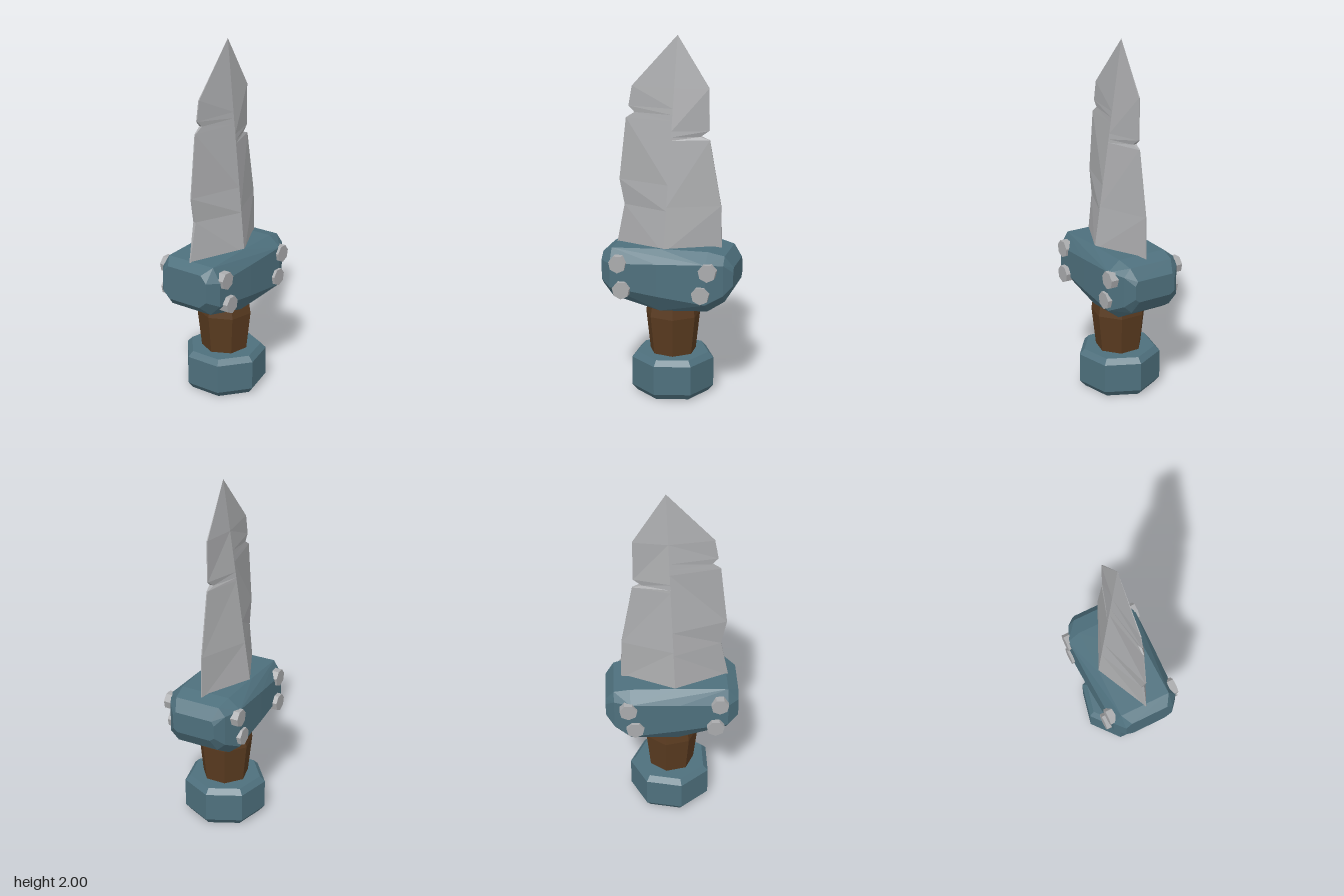
import * as THREE from 'three';
import { ConvexGeometry } from 'three/addons/geometries/ConvexGeometry.js';

const steel = new THREE.MeshStandardMaterial({ color: 0xaaabad, flatShading: true, side: THREE.DoubleSide });
steel.name = 'steel';
const blueMetal = new THREE.MeshStandardMaterial({ color: 0x4e707d, flatShading: true });
blueMetal.name = 'blue metal';
const wood = new THREE.MeshStandardMaterial({ color: 0x5a3b20, flatShading: true });
wood.name = 'brown wood';

function part(name, geometry, material) {
  const mesh = new THREE.Mesh(geometry, material);
  mesh.name = name;
  return mesh;
}

// One half of the blade: rows run from the tip down, each from the front ridge
// round the thin cutting edge to the back ridge.
function bladeHalf(edge, side) {
  const positions = [], index = [];
  const tipY = 2, baseY = 0.8;
  edge.forEach(([x, y, edgeZ]) => {
    const t = (tipY - y) / (tipY - baseY);
    const ridgeX = 0.025 - 0.045 * t;
    const ridgeZ = 0.15 * t;
    positions.push(ridgeX, y, ridgeZ, x, y, edgeZ, x, y, -edgeZ, ridgeX, y, -ridgeZ);
  });
  for (let r = 0; r < edge.length - 1; r++) {
    for (let c = 0; c < 3; c++) {
      const a = r * 4 + c, b = a + 1, d = a + 4, e = a + 5;
      if (side > 0) index.push(a, d, b, b, d, e);
      else index.push(a, b, d, b, e, d);
    }
  }
  const g = new THREE.BufferGeometry();
  g.setAttribute('position', new THREE.Float32BufferAttribute(positions, 3));
  g.setIndex(index);
  g.computeVertexNormals();
  return g;
}

// Seven-sided solid turned round the y axis, with one corner facing `start`
function heptagon(profile, start) {
  const points = [];
  for (const [r, y] of profile) {
    for (let i = 0; i < 7; i++) {
      const a = start + (i * Math.PI * 2) / 7;
      points.push(new THREE.Vector3(r * Math.cos(a), y, r * Math.sin(a)));
    }
  }
  return new ConvexGeometry(points);
}

export function createModel() {
  const model = new THREE.Group();
  model.name = 'dagger';

  // Blade with chipped edges: x, y, half thickness of the edge
  const blade = new THREE.Group();
  blade.name = 'blade';
  const rightEdge = [
    [0.025, 2, 0], [-0.23, 1.72, 0.003], [-0.25, 1.61, 0.003], [-0.215, 1.577, 0.008],
    [-0.265, 1.545, 0.003], [-0.305, 1.2, 0.003], [-0.275, 1.06, 0.008], [-0.322, 0.83, 0.003],
    [-0.322, 0.8, 0.003]];
  const leftEdge = [
    [0.025, 2, 0], [0.2, 1.72, 0.003], [0.2, 1.49, 0.003], [0.155, 1.458, 0.012],
    [0.205, 1.44, 0.003], [0.27, 1.08, 0.003], [0.277, 0.83, 0.003], [0.277, 0.8, 0.003]];
  blade.add(part('bladeRightHalf', bladeHalf(rightEdge, -1), steel));
  blade.add(part('bladeLeftHalf', bladeHalf(leftEdge, 1), steel));
  model.add(blade);

  // Rough-hewn guard: x, top, bottom, upper shoulder, lower shoulder, z of top, middle, bottom
  const stations = [
    [-0.37, 0.81, 0.62, 0.77, 0.66, 0.11, 0.145, 0.1],
    [-0.31, 0.845, 0.565, 0.765, 0.63, 0.148, 0.195, 0.13],
    [-0.04, 0.856, 0.5, 0.783, 0.6, 0.146, 0.206, 0.14],
    [0.23, 0.856, 0.52, 0.8, 0.575, 0.142, 0.212, 0.145],
    [0.32, 0.835, 0.575, 0.79, 0.62, 0.13, 0.168, 0.12],
    [0.367, 0.77, 0.65, 0.745, 0.67, 0.11, 0.125, 0.1]];
  const guardPoints = [];
  for (const [x, top, bottom, high, low, zTop, zMid, zBottom] of stations) {
    for (const s of [-1, 1]) {
      guardPoints.push(
        new THREE.Vector3(x, top, s * zTop), new THREE.Vector3(x, high, s * zMid),
        new THREE.Vector3(x, low, s * zMid), new THREE.Vector3(x, bottom, s * zBottom));
    }
  }
  model.add(part('guard', new ConvexGeometry(guardPoints), blueMetal));

  // Rivets on both faces of the guard: x, y, outer z
  const rivets = new THREE.Group();
  rivets.name = 'rivets';
  const rivetGeometry = new THREE.CylinderGeometry(0.05, 0.05, 0.08, 7);
  rivetGeometry.rotateX(Math.PI / 2);
  for (const [x, y, z] of [[-0.263, 0.768, 0.212], [-0.24, 0.625, 0.225], [0.242, 0.76, 0.227], [0.205, 0.63, 0.227]]) {
    for (const s of [-1, 1]) {
      const rivet = part('rivet', rivetGeometry, steel);
      rivet.position.set(x, y, s * (z - 0.04));
      rivets.add(rivet);
    }
  }
  model.add(rivets);

  // Wooden grip, widest just under the guard
  model.add(part('grip', heptagon([[0.128, 0.2], [0.156, 0.45], [0.138, 0.56]], Math.PI), wood));

  // Bevelled pommel
  model.add(part('pommel', heptagon([[0.205, 0], [0.234, 0.035], [0.234, 0.2], [0.205, 0.23]], 0), blueMetal));

  return model;
}
